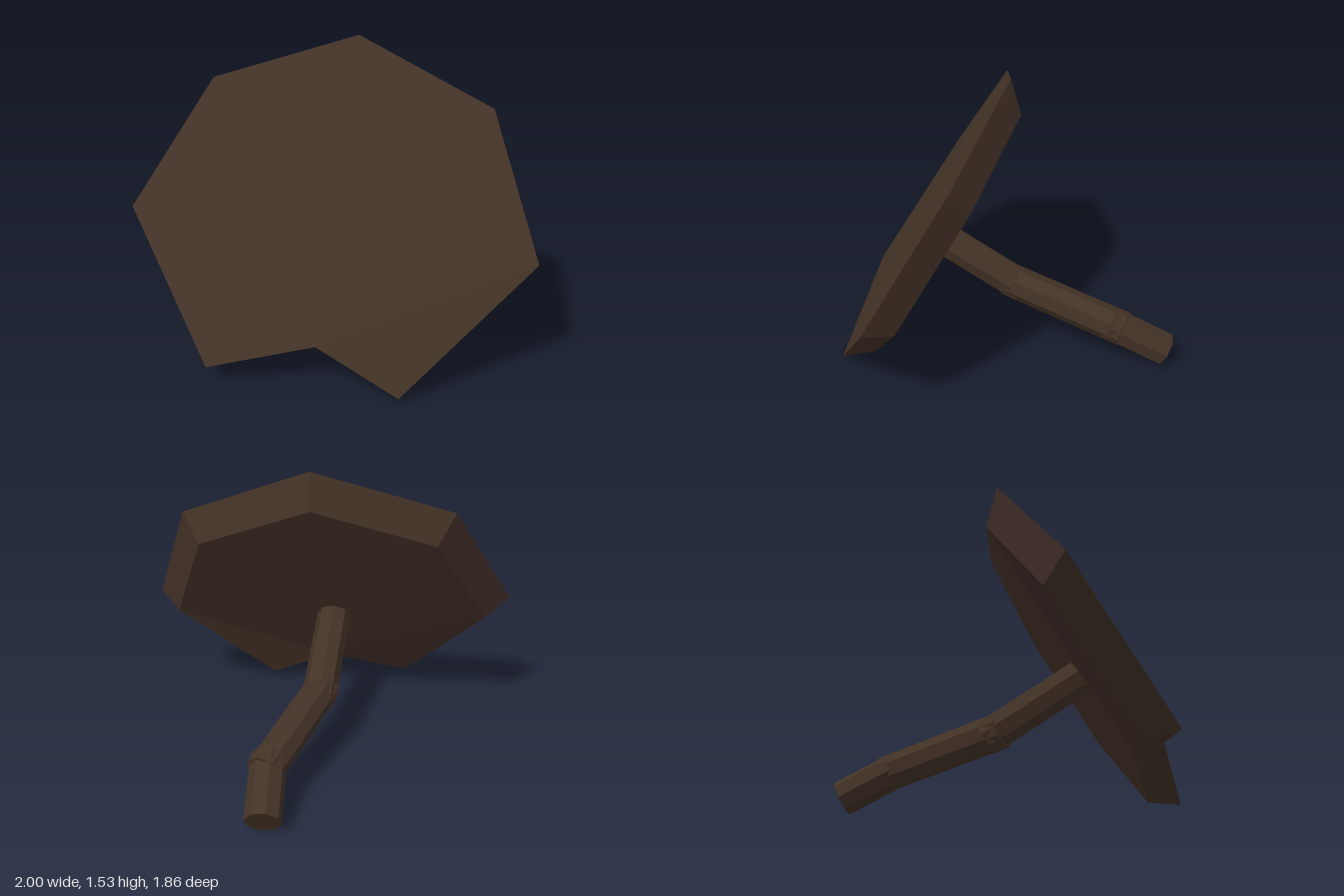
import * as THREE from 'three';

const bark = new THREE.MeshStandardMaterial({ color: 0x433226, flatShading: true });
bark.name = 'bark brown';
const umber = new THREE.MeshStandardMaterial({ color: 0x3f2c26, flatShading: true });
umber.name = 'reddish brown';

const v = (x, y, z) => new THREE.Vector3(x, y, z);

// Flat-faced mesh from a list of triangles (three vectors each)
function faces(name, corners, material) {
  const geometry = new THREE.BufferGeometry().setFromPoints(corners);
  geometry.computeVertexNormals();
  const mesh = new THREE.Mesh(geometry, material);
  mesh.name = name;
  return mesh;
}

// Eight-sided rod between two points
function rod(name, a, b, radiusA, radiusB) {
  const dir = b.clone().sub(a);
  const mesh = new THREE.Mesh(
    new THREE.CylinderGeometry(radiusB, radiusA, dir.length(), 8), bark);
  mesh.name = name;
  mesh.position.copy(a).add(b).multiplyScalar(0.5);
  mesh.quaternion.setFromUnitVectors(v(0, 1, 0), dir.normalize());
  return mesh;
}

// Tilted, notched cap with a bevelled underside
function buildCap() {
  const cap = new THREE.Group();
  cap.name = 'cap';
  // Outline from the notch, counterclockwise
  const rim = [
    v(0.05, 0.235, 0.775), v(0.46, 0.04, 0.77), v(1, 0.63, 0.37), v(0.69, 1.25, 0.04),
    v(-0.02, 1.54, -0.03), v(-0.72, 1.32, 0.2), v(-1, 0.73, 0.6), v(-0.45, 0.11, 0.93),
  ];
  const centre = v(0, 0.65, 0.505);
  const normal = v(0.145, 0.6, 1).normalize();
  const back = rim.map((p) =>
    p.clone().sub(centre).multiplyScalar(0.87).add(centre).addScaledVector(normal, -0.14));

  const top = [], under = [], underRed = [], edge = [], edgeRed = [];
  const n = rim.length;
  for (let i = 0; i < n; i++) {
    const j = (i + 1) % n;
    (i === 5 ? edgeRed : edge).push(rim[i], back[i], back[j], rim[i], back[j], rim[j]);
    if (i > 0 && j > 0) {
      top.push(rim[0], rim[i], rim[j]);
      (i >= 5 ? underRed : under).push(back[0], back[j], back[i]);
    }
  }
  cap.add(
    faces('capTop', top, bark),
    faces('capUnderside', under, bark),
    faces('capUndersidePatch', underRed, umber),
    faces('capEdge', edge, bark),
    faces('capEdgePatch', edgeRed, umber));
  return cap;
}

// Crooked stalk of overlapping rods
function buildStalk() {
  const stalk = new THREE.Group();
  stalk.name = 'stalk';
  const path = [v(-0.04, 0.62, 0.45), v(-0.085, 0.335, -0.04), v(0.015, 0.23, -0.63), v(-0.04, 0.095, -0.89)];
  for (let i = 0; i < 3; i++) {
    const dir = path[i + 1].clone().sub(path[i]).normalize();
    // Run past each joint so the rods interlock
    const a = path[i].clone().addScaledVector(dir, i > 0 ? -0.05 : 0);
    const b = path[i + 1].clone().addScaledVector(dir, i < 2 ? 0.05 : 0);
    stalk.add(rod('stalkSegment' + (i + 1), a, b, 0.092, 0.092));
  }
  return stalk;
}

export function createModel() {
  const model = new THREE.Group();
  model.name = 'cappedStalk';
  model.add(buildCap(), buildStalk());
  return model;
}
